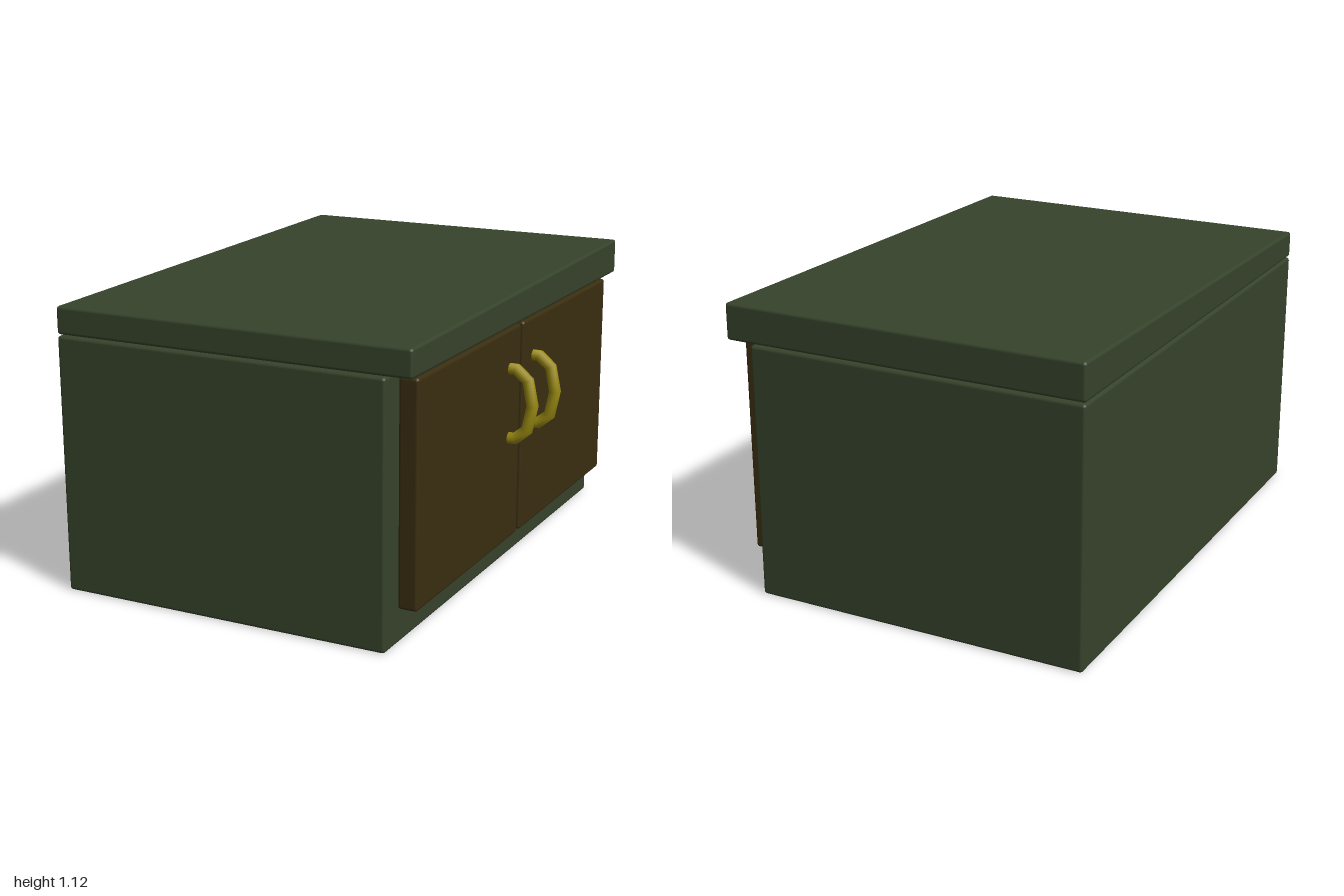
import * as THREE from 'three';
import { RoundedBoxGeometry } from 'three/addons/geometries/RoundedBoxGeometry.js';

const green = new THREE.MeshStandardMaterial({ color: 0x36432b });
const brown = new THREE.MeshStandardMaterial({ color: 0x3a2e10 });
const gold = new THREE.MeshStandardMaterial({ color: 0x9a8a12 });

// Rounded box given by its extents
function box(name, material, [x0, x1], [y0, y1], [z0, z1]) {
  const geometry = new RoundedBoxGeometry(x1 - x0, y1 - y0, z1 - z0, 2, 0.012);
  const mesh = new THREE.Mesh(geometry, material);
  mesh.name = name;
  mesh.position.set((x0 + x1) / 2, (y0 + y1) / 2, (z0 + z1) / 2);
  return mesh;
}

// Path of straight pieces with one tube ring at each corner
class Polyline extends THREE.Curve {
  constructor(points) {
    super();
    this.points = points;
  }
  getUtoTmapping(u) {
    return u;
  }
  getPoint(t, target = new THREE.Vector3()) {
    const s = t * (this.points.length - 1);
    const i = Math.min(Math.floor(s), this.points.length - 2);
    return target.lerpVectors(this.points[i], this.points[i + 1], s - i);
  }
}

// Faceted bow handle: half an ellipse with short ends running into the door
function handle(name, z) {
  const points = [new THREE.Vector3(0.62, 0.819, z)];
  for (let i = 0; i <= 4; i++) {
    const a = Math.PI / 2 - (i * Math.PI) / 4;
    points.push(new THREE.Vector3(0.67 + 0.067 * Math.cos(a), 0.685 + 0.134 * Math.sin(a), z));
  }
  points.push(new THREE.Vector3(0.62, 0.551, z));
  const mesh = new THREE.Mesh(new THREE.TubeGeometry(new Polyline(points), 6, 0.023, 12), gold);
  mesh.name = name;
  return mesh;
}

export function createModel() {
  const group = new THREE.Group();
  group.name = 'cabinet';

  group.add(box('body', green, [-0.76, 0.56], [0, 0.98], [-1, 1]));

  // Worktop, its upper side rising towards the back
  const top = box('worktop', green, [-0.76, 0.66], [0.985, 1.09], [-1, 1]);
  const p = top.geometry.attributes.position;
  for (let i = 0; i < p.count; i++) {
    if (p.getY(i) > 0) p.setY(i, p.getY(i) + 0.0175 * (1 - p.getZ(i)));
  }
  group.add(top);

  // Pair of doors with handles
  group.add(
    box('frontDoor', brown, [0.57, 0.645], [0.14, 0.97], [0.015, 0.92]),
    box('backDoor', brown, [0.57, 0.645], [0.14, 0.97], [-0.915, -0.01]),
    handle('frontHandle', 0.12),
    handle('backHandle', -0.113)
  );
  return group;
}
